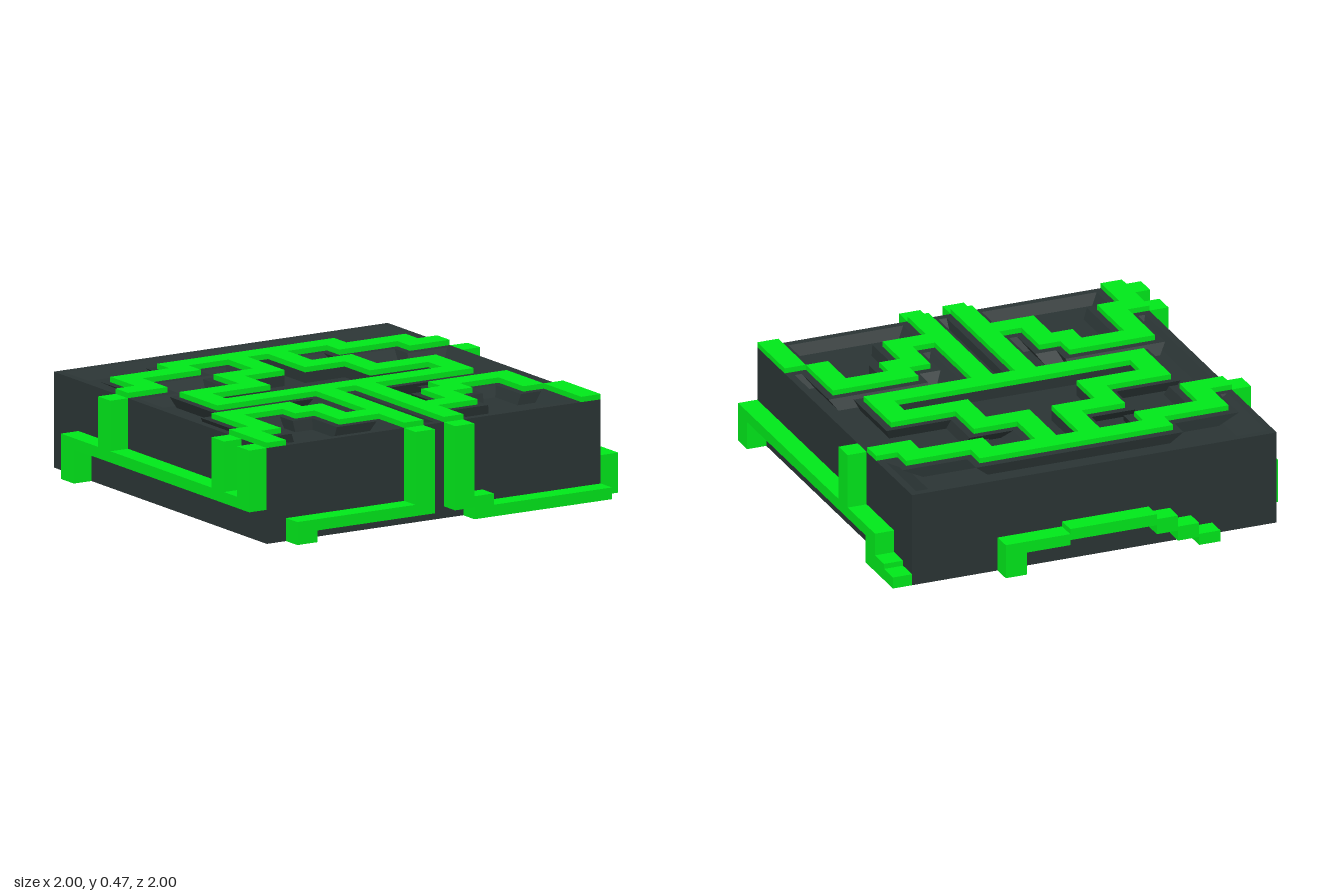
import * as THREE from 'three';
import { mergeGeometries } from 'three/addons/utils/BufferGeometryUtils.js';

const dark = new THREE.MeshStandardMaterial({ color: 0x2a3434 });
dark.name = 'charcoal';
const green = new THREE.MeshStandardMaterial({ color: 0x00ea1a });
green.name = 'bright green';

const H = 0.45, TOP = 0.475, E = 0.905, DEPTH = 0.05;

// Recess outline from [x, z], counter-clockwise seen from above in (x, -z)
function outline(points) {
  const p = points.map(([x, z]) => new THREE.Vector2(x, -z));
  return THREE.ShapeUtils.area(p) < 0 ? p.reverse() : p;
}

// Recess floor: the outline shrunk about the middle of its bounds
function shrink(p, f) {
  const c = new THREE.Box2().setFromPoints(p).getCenter(new THREE.Vector2());
  return p.map((v) => v.clone().sub(c).multiplyScalar(f).add(c));
}

// Walls joining the outline p at y = 0 to the sunken floor q
function walls(p, q) {
  const pos = [];
  const put = (v, y) => pos.push(v.x, y, -v.y);
  p.forEach((a, i) => {
    const j = (i + 1) % p.length;
    put(a, 0); put(p[j], 0); put(q[j], -DEPTH);
    put(a, 0); put(q[j], -DEPTH); put(q[i], -DEPTH);
  });
  const g = new THREE.BufferGeometry();
  g.setAttribute('position', new THREE.Float32BufferAttribute(pos, 3));
  g.computeVertexNormals();
  return g;
}

// Square plate facing up at y = 0, with sunken recesses given as [points, floor scale]
function plate(recesses) {
  const shape = new THREE.Shape(outline([[-E, E], [E, E], [E, -E], [-E, -E]]));
  const parts = [];
  const addFlat = (s, y) => {
    const g = new THREE.ShapeGeometry(s).rotateX(-Math.PI / 2).translate(0, y, 0).toNonIndexed();
    g.deleteAttribute('uv');
    parts.push(g);
  };
  for (const [points, scale] of recesses) {
    const p = outline(points), q = shrink(p, scale);
    shape.holes.push(new THREE.Path(p));
    parts.push(walls(p, q));
    addFlat(new THREE.Shape(q), -DEPTH);
  }
  addFlat(shape, 0);
  return mergeGeometries(parts);
}

// Recess winding round the middle figure; zs is where the side strip ends
const sideChannel = (s, zs) => [
  [-0.335, -0.555], [-0.195, -0.555], [-0.195, -0.415], [-0.41, -0.415], [-0.41, -0.195],
  [-0.73, -0.195], [-0.73, 0.19], [-0.195, 0.19], [-0.195, 0.55], [-0.235, 0.55],
  [-0.235, 0.34], [-0.34, 0.34], [-0.34, 0.235], [-0.835, 0.235], [-0.835, 0.55],
  [-0.87, 0.55], [-0.87, zs], [-0.655, zs], [-0.655, -0.455], [-0.335, -0.455],
].map(([x, z]) => [x * s, z]);

const frontPocket = (s, zs) => [
  [-0.655, 0.405], [-0.515, 0.405], [-0.515, 0.515], [-0.41, 0.515], [-0.41, 0.725],
  [-0.195, 0.725], [-0.195, 0.87], [-0.765, 0.87], [-0.765, zs], [-0.655, zs],
].map(([x, z]) => [x * s, z]);

const backPanel = [
  [-0.87, -0.87], [0.87, -0.87], [0.87, -0.52], [0.835, -0.52], [0.835, -0.63], [0.515, -0.63],
  [0.515, -0.735], [-0.515, -0.735], [-0.515, -0.63], [-0.835, -0.63], [-0.835, -0.41], [-0.87, -0.41],
];
const slot = [[-0.02, 0.19], [0.02, 0.19], [0.02, 0.87], [-0.02, 0.87]];
const centre = [
  [-0.055, -0.59], [0.055, -0.59], [0.055, -0.275], [0.27, -0.275], [0.27, -0.06], [0.585, -0.06],
  [0.585, 0.055], [-0.585, 0.055], [-0.585, -0.06], [-0.27, -0.06], [-0.27, -0.275], [-0.055, -0.275],
];
const underside = [[-0.87, -0.87], [0.87, -0.87], [0.87, 0.87], [-0.87, 0.87]];

function makeBody() {
  const body = new THREE.Group();
  body.name = 'body';
  const add = (name, g) => {
    const m = new THREE.Mesh(g, dark);
    m.name = name;
    body.add(m);
  };
  // Four sides: a box without its upper and lower faces
  const box = new THREE.BoxGeometry(2 * E, H, 2 * E).translate(0, H / 2, 0);
  box.setIndex([...box.index.array].filter((_, i) => i < 12 || i >= 24));
  box.clearGroups();
  add('bodySides', box);
  add('bodyTop', plate([
    [backPanel, 0.88], [slot, 0.88], [centre, 1],
    [sideChannel(1, -0.235), 0.88], [sideChannel(-1, -0.345), 0.88],
    [frontPocket(1, 0.725), 0.88], [frontPocket(-1, 0.62), 0.88],
  ]).translate(0, H, 0));
  add('bodyUnderside', plate([[underside, 0.88]]).rotateX(Math.PI));
  return body;
}

// Boxes given by their limits: x0, x1, y0, y1, z0, z1
function strips(name, list) {
  const parts = list.map(([x0, x1, y0, y1, z0, z1]) =>
    new THREE.BoxGeometry(x1 - x0, y1 - y0, z1 - z0)
      .translate((x0 + x1) / 2, (y0 + y1) / 2, (z0 + z1) / 2));
  const m = new THREE.Mesh(mergeGeometries(parts), green);
  m.name = name;
  return m;
}

// Top strips on the -x half that repeat on the +x half: x0, x1, z0, z1
const mirrored = [
  [-0.8, -0.375, -0.59, -0.485],
  [-0.16, -0.055, -0.59, -0.275], [-0.375, -0.055, -0.38, -0.275],
  [-0.375, -0.27, -0.38, -0.06], [-0.695, -0.27, -0.165, -0.06],
  [-0.695, -0.585, -0.165, 0.155],
  [-0.16, -0.055, 0.155, E],
  [-0.8, -0.375, 0.27, 0.375], [-0.48, -0.27, 0.375, 0.48],
  [-0.375, -0.27, 0.48, 0.69], [-0.375, -0.055, 0.585, 0.69],
  [-0.8, -0.69, 0.27, 0.585], [-E, -0.8, 0.585, E],
];
const single = [
  [-0.48, 0.48, -0.695, -0.59], [-0.695, 0.695, 0.055, 0.155],
  [-0.8, -0.69, -0.59, -0.275], [-E, -0.69, -0.38, -0.275],
  [0.69, 0.8, -0.59, -0.38], [0.69, E, -0.485, -0.38],
  [-0.8, -0.69, 0.585, 0.69],
];

export function createModel() {
  const model = new THREE.Group();
  model.name = 'circuitBlock';
  model.add(makeBody());

  const topList = [...single, ...mirrored, ...mirrored.map(([a, b, c, d]) => [-b, -a, c, d])];
  model.add(strips('topStrips', topList.map(([a, b, c, d]) => [a, b, H, TOP, c, d])));

  model.add(strips('frontStrips', [
    [-0.16, -0.055, 0.055, H], [-0.8, -0.16, 0.055, 0.108], [-0.8, -0.69, 0, 0.055],
    [0.055, 0.16, 0.055, H], [0.16, 0.265, 0.055, 0.108], [0.16, E, 0, 0.055],
  ].map((b) => [...b, E, 1])));

  model.add(strips('backStrips', [
    [0.375, 0.48, 0, 0.165], [0.16, 0.375, 0.11, 0.165], [-0.27, 0.16, 0.135, 0.19],
    [-0.375, -0.27, 0.09, 0.165], [-0.48, -0.375, 0.04, 0.11], [-0.585, -0.48, 0, 0.055],
  ].map((b) => [...b, -1, -E])));

  // Side strips as y0, y1, z0, z1
  model.add(strips('leftSideStrips', [
    [0.135, 0.188, -0.695, E], [0, 0.135, 0.8, E], [0, 0.135, -0.695, -0.585],
    [0.188, H, -0.375, -0.27], [0, 0.08, -0.8, -0.695], [0, 0.055, -E, -0.8],
  ].map((b) => [E, 1, ...b])));

  model.add(strips('rightSideStrips', [
    [0.16, 0.213, -0.695, 0.8], [0, 0.16, -0.695, -0.585], [0.213, H, -0.38, -0.275],
    [0.213, H, 0.585, 0.69], [0.16, H, 0.8, E],
  ].map((b) => [-1, -E, ...b])));

  return model;
}
